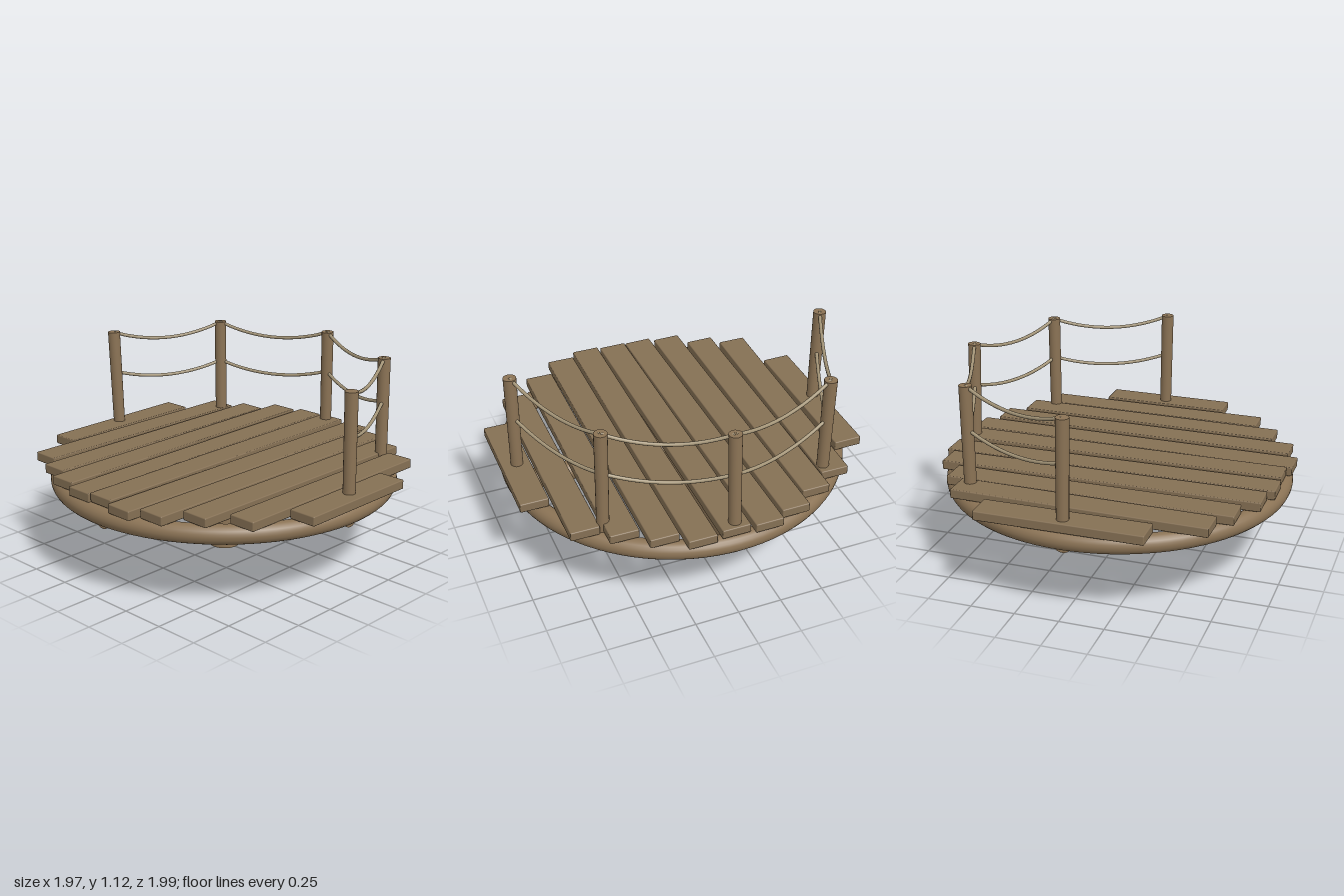
import * as THREE from 'three';
import { RoundedBoxGeometry } from 'three/addons/geometries/RoundedBoxGeometry.js';

export function createModel() {
  const model = new THREE.Group();
  model.name = 'roundDeck';

  const mat = (name, color) => {
    const m = new THREE.MeshStandardMaterial({ color });
    m.name = name;
    return m;
  };
  const wood = mat('timber', 0x8b7355);
  const plankWood = mat('plankWood', 0x857054);
  const ropeFibre = mat('ropeFibre', 0xa39477);

  const add = (name, geometry, material) => {
    const mesh = new THREE.Mesh(geometry, material);
    mesh.name = name;
    model.add(mesh);
    return mesh;
  };

  // Round pole between two points
  const up = new THREE.Vector3(0, 1, 0);
  const pole = (name, a, b, rTop, rBottom, sides) => {
    const dir = b.clone().sub(a);
    const mesh = add(name, new THREE.CylinderGeometry(rTop, rBottom, dir.length(), sides), wood);
    mesh.position.copy(a).add(b).multiplyScalar(0.5);
    mesh.quaternion.setFromUnitVectors(up, dir.normalize());
    return mesh;
  };
  const v = (x, y, z) => new THREE.Vector3(x, y, z);

  // Central support, crossed beams and rim
  pole('centralSupport', v(0, 0, -0.005), v(0, 0.42, -0.005), 0.088, 0.088, 32);
  pole('crossBeam', v(-0.925, 0.422, -0.005), v(0.925, 0.422, -0.005), 0.056, 0.056, 24);
  pole('crossBeam', v(0, 0.422, -0.93), v(0, 0.422, 0.92), 0.056, 0.056, 24);
  const rim = add('rim', new THREE.TorusGeometry(0.934, 0.053, 20, 96), wood);
  rim.rotation.x = Math.PI / 2;
  rim.position.set(-0.002, 0.448, -0.008);

  // Deck planks: left end x, right end x, z at each end, top height
  const planks = [
    [-0.45, 0.48, -0.89, -0.895, 0.55],
    [-0.735, 0.7, -0.715, -0.695, 0.555],
    [-0.82, 0.8, -0.53, -0.53, 0.55],
    [-0.915, 0.912, -0.34, -0.355, 0.555],
    [-0.952, 0.963, -0.16, -0.18, 0.55],
    [-0.947, 0.953, 0.01, 0.005, 0.558],
    [-0.975, 0.958, 0.18, 0.195, 0.55],
    [-0.915, 0.88, 0.36, 0.375, 0.555],
    [-0.783, 0.778, 0.54, 0.557, 0.558],
    [-0.64, 0.672, 0.73, 0.735, 0.55],
    [-0.387, 0.36, 0.91, 0.912, 0.555],
  ];
  for (const [x0, x1, z0, z1, top] of planks) {
    const length = Math.hypot(x1 - x0, z1 - z0);
    const plank = add('plank', new RoundedBoxGeometry(length, 0.053, 0.16, 2, 0.006), plankWood);
    plank.position.set((x0 + x1) / 2, top - 0.0265, (z0 + z1) / 2);
    plank.rotation.y = -Math.atan2(z1 - z0, x1 - x0);
  }

  // Railing posts: foot and slightly leaning top
  const posts = [
    [v(0.002, 0.5, -0.912), v(-0.012, 1.112, -0.925)],
    [v(0.636, 0.5, -0.65), v(0.636, 1.112, -0.656)],
    [v(0.902, 0.5, -0.004), v(0.888, 1.112, 0.005)],
    [v(0.636, 0.5, 0.628), v(0.637, 1.112, 0.622)],
    [v(0, 0.5, 0.904), v(-0.006, 1.112, 0.902)],
  ];
  for (const [foot, top] of posts) pole('railingPost', foot, top, 0.036, 0.034, 20);

  // Two sagging ropes between neighbouring posts
  for (let i = 0; i < posts.length - 1; i++) {
    for (const [y, sag] of [[1.108, 0.064], [0.862, 0.055]]) {
      const t = (y - 0.5) / 0.612;
      const [a, b] = [posts[i], posts[i + 1]].map(([p, q]) => p.clone().lerp(q, t));
      const points = [];
      for (let k = 0; k <= 8; k++) {
        const s = k / 8;
        const p = a.clone().lerp(b, s);
        p.y -= sag * 4 * s * (1 - s);
        points.push(p);
      }
      add('rope', new THREE.TubeGeometry(new THREE.CatmullRomCurve3(points), 32, 0.01, 10), ropeFibre);
    }
  }

  return model;
}
